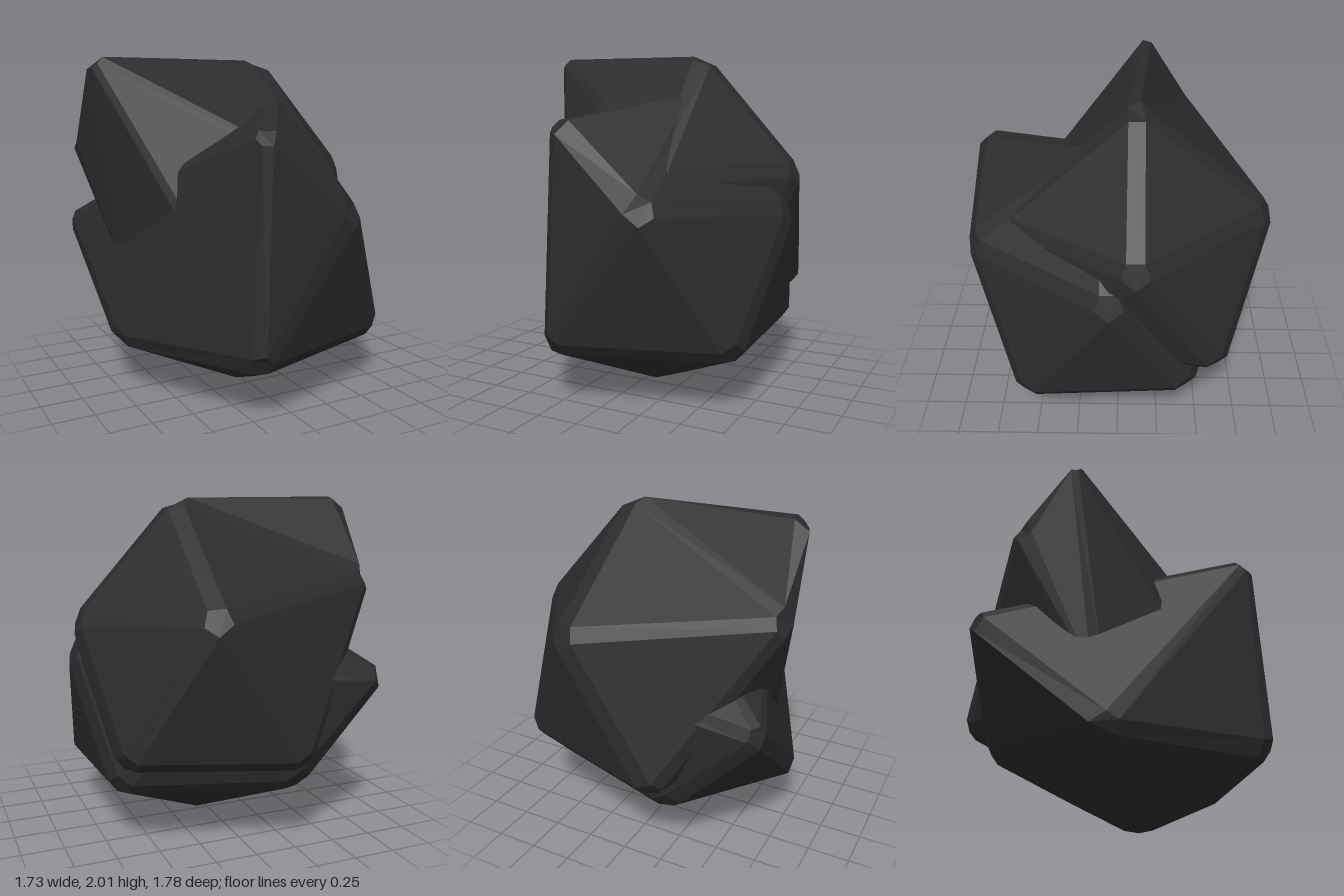
import * as THREE from 'three';

const V = (p) => new THREE.Vector3(...p);

// Bevelled, uneven icosahedron: a top point, two staggered rings of five, a bottom point
function boulder({ top, upper, lower, bottom }, bevel) {
  const verts = [top, ...upper, ...lower, bottom].map(V);
  const U = (i) => 1 + (i % 5), L = (i) => 6 + (i % 5);
  const faces = [];
  for (let i = 0; i < 5; i++) {
    faces.push([0, U(i), U(i + 1)], [L(i), L(i + 1), U(i)],
      [U(i), L(i + 1), U(i + 1)], [11, L(i + 1), L(i)]);
  }
  const center = new THREE.Vector3();
  verts.forEach((v) => center.addScaledVector(v, 1 / verts.length));

  const positions = [];
  // Adds a polygon as a fan of triangles that face away from the centre
  function addPolygon(points) {
    for (let i = 1; i + 1 < points.length; i++) {
      const [a, b, c] = [points[0], points[i], points[i + 1]];
      const n = b.clone().sub(a).cross(c.clone().sub(a));
      const mid = a.clone().add(b).add(c).divideScalar(3).sub(center);
      for (const p of n.dot(mid) > 0 ? [a, b, c] : [a, c, b]) positions.push(p.x, p.y, p.z);
    }
  }

  // Shrunken faces, collecting their corners per vertex and per edge
  const corners = verts.map(() => []);
  const edges = new Map();
  for (const f of faces) {
    const mid = new THREE.Vector3();
    f.forEach((i) => mid.addScaledVector(verts[i], 1 / 3));
    const inset = f.map((i) => verts[i].clone().addScaledVector(mid.clone().sub(verts[i]).normalize(), bevel));
    addPolygon(inset);
    f.forEach((i, k) => {
      corners[i].push(inset[k]);
      const m = (k + 1) % 3, j = f[m];
      const key = Math.min(i, j) + '-' + Math.max(i, j);
      const pair = i < j ? [inset[k], inset[m]] : [inset[m], inset[k]];
      if (!edges.has(key)) edges.set(key, []);
      edges.get(key).push(pair);
    });
  }

  // Chamfer strips along the edges
  for (const [[a, b], [c, d]] of edges.values()) addPolygon([a, b, d, c]);

  // Small caps on the corners, sorted around the outward axis
  corners.forEach((pts, i) => {
    const axis = verts[i].clone().sub(center).normalize();
    const side = new THREE.Vector3(0.31, 0.17, 0.93).cross(axis).normalize();
    const other = axis.clone().cross(side);
    const angle = (p) => {
      const q = p.clone().sub(verts[i]);
      return Math.atan2(q.dot(other), q.dot(side));
    };
    addPolygon(pts.sort((p, q) => angle(p) - angle(q)));
  });

  const geometry = new THREE.BufferGeometry();
  geometry.setAttribute('position', new THREE.Float32BufferAttribute(positions, 3));
  geometry.computeVertexNormals();
  return geometry;
}

export function createModel() {
  const group = new THREE.Group();
  group.name = 'rockPair';
  const material = new THREE.MeshStandardMaterial({ color: 0x2b2b2d, flatShading: true });

  // Rings run front, right, back right, back left, left
  const rocks = {
    lowerFrontRock: {
      top: [0.3, 1.81, 0.05],
      upper: [[0.33, 1.17, 0.9], [0.89, 1.12, 0.04], [0.28, 1.08, -0.74], [-0.86, 0.98, -0.74], [-0.23, 1.64, 0.86]],
      lower: [[-0.28, 0.33, 0.9], [0.76, 0.33, 0.58], [0.74, 0.37, -0.44], [-0.28, 0.37, -0.75], [-0.81, 0.33, 0.02]],
      bottom: [0.04, -0.045, 0.11],
    },
    upperBackRock: {
      top: [0.27, 2.02, -0.1],
      upper: [[0.33, 1.31, 0.7], [0.89, 1.33, -0.1], [0.3, 1.4, -0.9], [-0.89, 1.55, -0.48], [-0.85, 2.04, -0.18]],
      lower: [[-0.25, 0.5, 0.7], [0.62, 0.57, 0.4], [0.75, 0.55, -0.62], [-0.26, 0.52, -0.9], [-0.65, 0.6, -0.05]],
      bottom: [0.1, 0.36, -0.1],
    },
  };
  for (const [name, points] of Object.entries(rocks)) {
    const mesh = new THREE.Mesh(boulder(points, 0.1), material);
    mesh.name = name;
    group.add(mesh);
  }
  return group;
}
